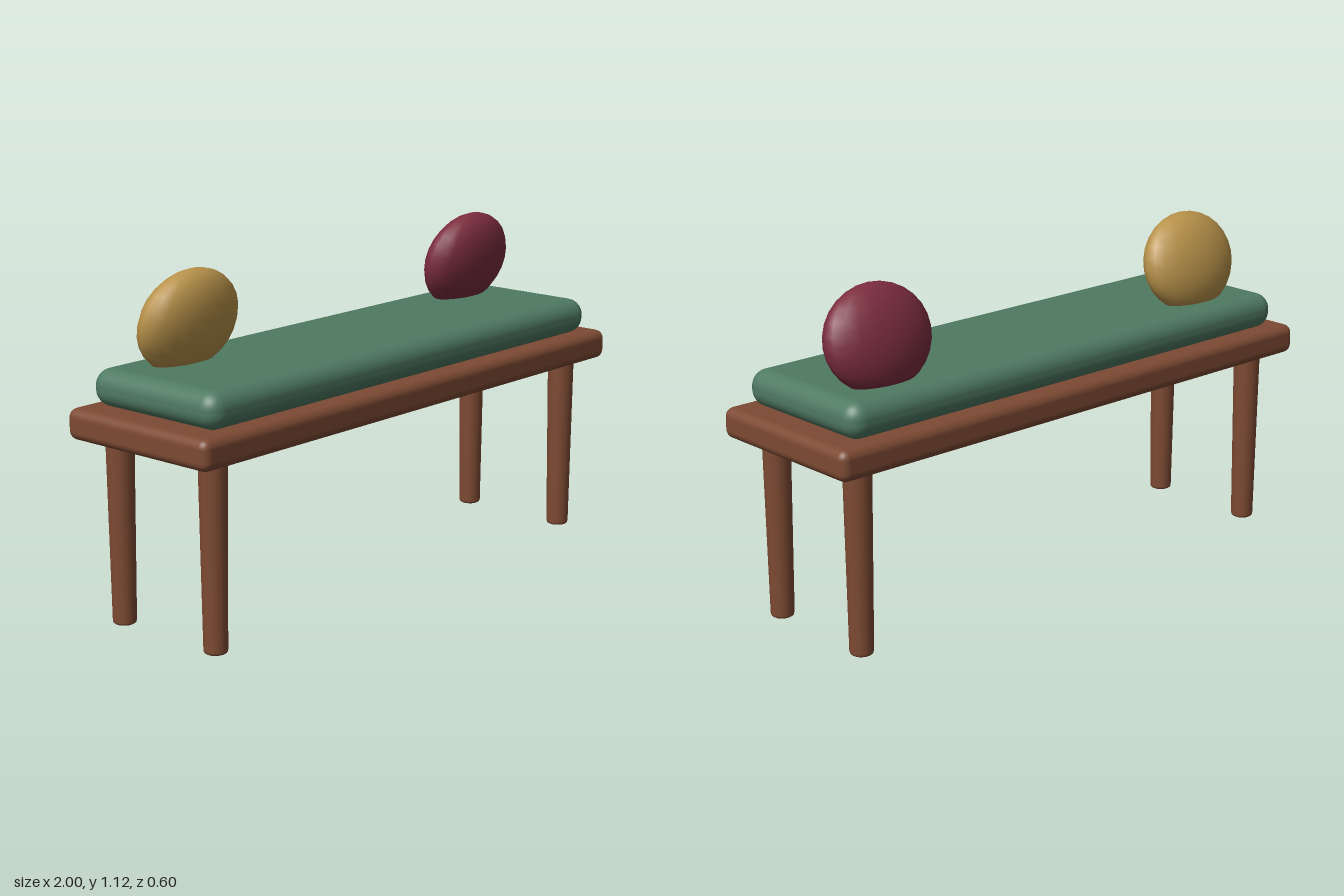
import * as THREE from 'three';
import { RoundedBoxGeometry } from 'three/addons/geometries/RoundedBoxGeometry.js';

const material = (name, color) => {
  const m = new THREE.MeshStandardMaterial({ color });
  m.name = name;
  return m;
};

export function createModel() {
  const bench = new THREE.Group();
  bench.name = 'bench';

  const wood = material('brown wood', 0x7d4a33);
  const green = material('green fabric', 0x4f7a62);
  const mustard = material('mustard fabric', 0xb8924a);
  const burgundy = material('burgundy fabric', 0x7c2d3e);

  const add = (name, geometry, mat, x, y, z) => {
    const mesh = new THREE.Mesh(geometry, mat);
    mesh.name = name;
    mesh.position.set(x, y, z);
    bench.add(mesh);
    return mesh;
  };

  // Seat board and padded cushion
  add('seatBoard', new RoundedBoxGeometry(2, 0.1, 0.6, 4, 0.03), wood, 0, 0.652, 0);
  add('seatCushion', new RoundedBoxGeometry(1.865, 0.12, 0.533, 4, 0.055), green, 0, 0.76, 0);

  // Tapered round legs with a softened foot
  const legProfile = [[0, 0], [0.032, 0], [0.036, 0.003], [0.038, 0.01], [0.045, 0.595], [0.042, 0.61], [0, 0.61]]
    .map(([r, y]) => new THREE.Vector2(r, y));
  const legGeometry = new THREE.LatheGeometry(legProfile, 20);
  for (const [side, x] of [['left', 0.87], ['right', -0.87]]) {
    add(side + 'FrontLeg', legGeometry, wood, x, 0, 0.2);
    add(side + 'BackLeg', legGeometry, wood, x, 0, -0.2);
  }

  // Oval pillows, tipped towards the front
  const pillowGeometry = new THREE.SphereGeometry(1, 20, 14).scale(0.198, 0.17, 0.09);
  for (const [name, mat, x] of [['rightPillow', mustard, -0.668], ['leftPillow', burgundy, 0.698]]) {
    add(name, pillowGeometry, mat, x, 0.95, -0.098).rotation.x = 0.25;
  }

  return bench;
}
